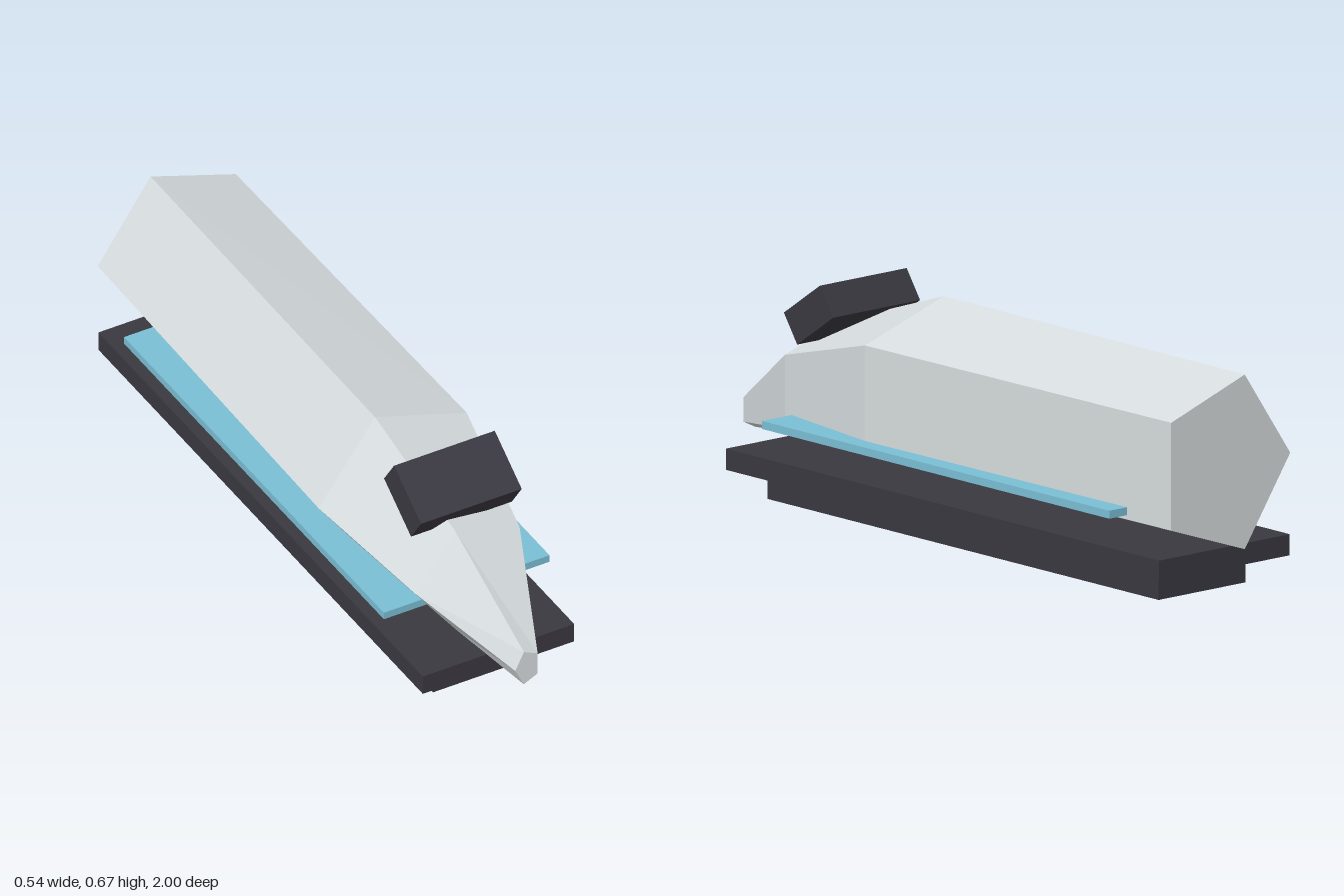
import * as THREE from 'three';

const mat = (name, color) => {
  const m = new THREE.MeshStandardMaterial();
  m.name = name;
  m.color.setHex(color);
  return m;
};

// Five-sided faceted loft; sections run front to back as [z, centreY, radiusX, radiusY]
function loftGeometry(sections, sides = 5) {
  const rings = sections.map(([z, cy, rx, ry]) =>
    Array.from({ length: sides }, (_, i) => {
      const a = Math.PI + (i * Math.PI * 2) / sides;
      return [Math.cos(a) * rx, cy + Math.sin(a) * ry, z];
    }));
  const pos = [];
  const tri = (a, b, c) => pos.push(...a, ...b, ...c);
  for (let s = 0; s < rings.length - 1; s++) {
    const f = rings[s], r = rings[s + 1];
    for (let i = 0; i < sides; i++) {
      const j = (i + 1) % sides;
      tri(f[i], r[i], r[j]);
      tri(f[i], r[j], f[j]);
    }
  }
  // End caps
  const first = rings[0], last = rings[rings.length - 1];
  for (let i = 1; i < sides - 1; i++) {
    tri(first[0], first[i], first[i + 1]);
    tri(last[0], last[i + 1], last[i]);
  }
  const g = new THREE.BufferGeometry();
  g.setAttribute('position', new THREE.Float32BufferAttribute(pos, 3));
  g.computeVertexNormals();
  return g;
}

export function createModel() {
  const group = new THREE.Group();
  const shell = mat('pale grey shell', 0xd6dcde);
  const dark = mat('charcoal', 0x3a3840);
  const blue = mat('sky blue trim', 0x7abfd4);
  shell.flatShading = true;

  const add = (name, geometry, material) => {
    const m = new THREE.Mesh(geometry, material);
    m.name = name;
    group.add(m);
    return m;
  };
  // Box given by half width, bottom, top, rear and front
  const slab = (name, hx, y0, y1, z0, z1, material) =>
    add(name, new THREE.BoxGeometry(hx * 2, y1 - y0, z1 - z0), material)
      .position.set(0, (y0 + y1) / 2, (z0 + z1) / 2);

  // Hull with tapered nose
  add('hull', loftGeometry([
    [1, 0.206, 0.04, 0.06],
    [0.69, 0.33, 0.187, 0.182],
    [0.28, 0.39, 0.265, 0.265],
    [-1, 0.39, 0.247, 0.265],
  ]), shell);

  // Tilted windscreen block on the nose
  const screen = add('windscreen', new THREE.BoxGeometry(0.326, 0.1, 0.185), dark);
  screen.position.set(0, 0.573, 0.577);
  screen.rotation.x = 0.6;

  // Side trim, passing through the hull
  slab('sideTrim', 0.268, 0.247, 0.27, -0.815, 0.655, blue);

  // Underframe, lower rail and glowing base strip
  slab('skirt', 0.245, 0.094, 0.155, -1, 0.835, dark);
  slab('lowerRail', 0.163, 0.012, 0.073, -0.905, 0.75, dark);
  slab('baseStrip', 0.122, 0, 0.012, -0.86, 0.7, blue);

  return group;
}
